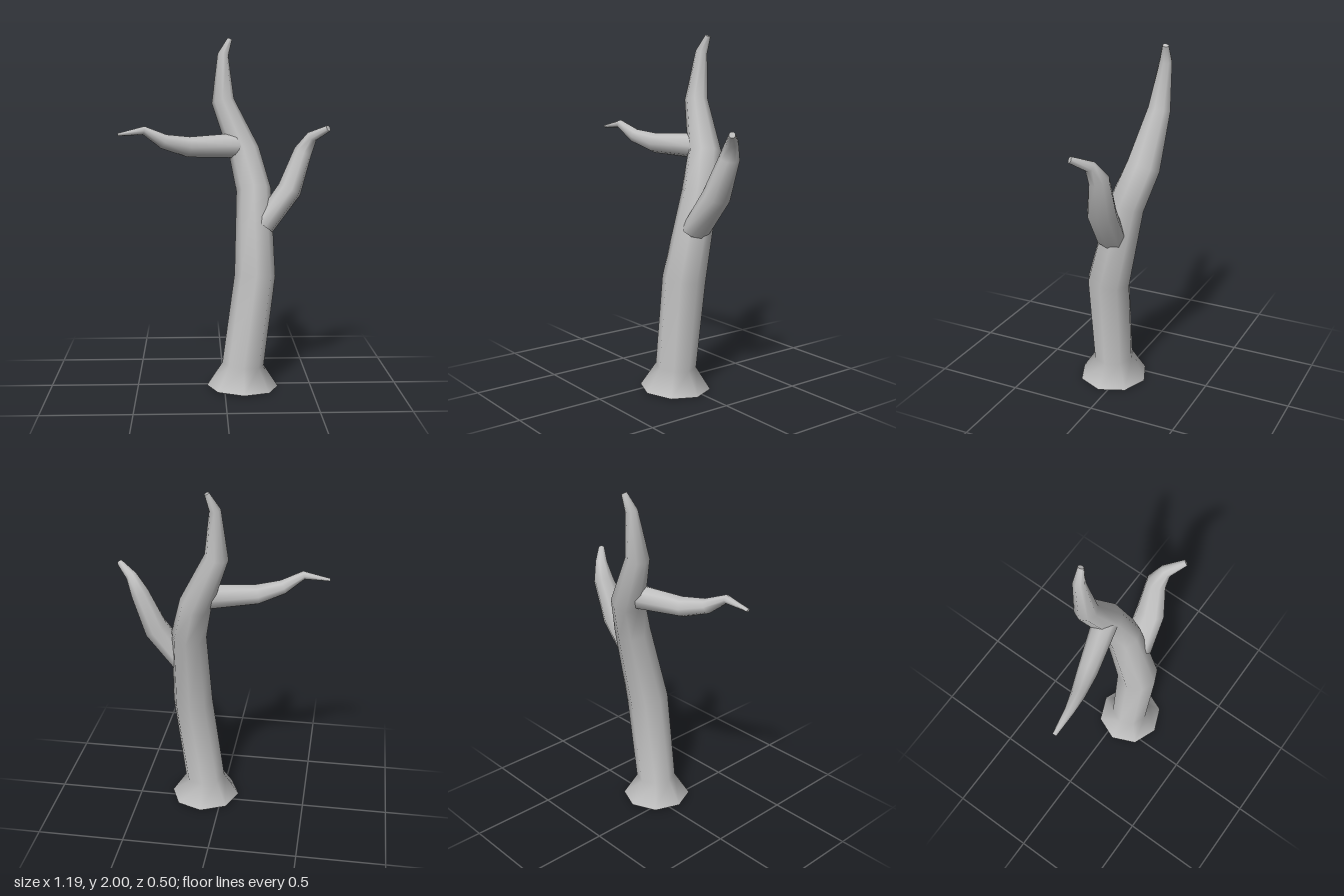
import * as THREE from 'three';

// Skin a limb over rings of [x, y, z, radius, depthRadius?], with closed ends.
function limb(name, rings, material, sides = 8) {
  const centres = rings.map(([x, y, z]) => new THREE.Vector3(x, y, z));
  const pos = [], index = [];
  const loops = rings.map(([, , , r, rz = r], i) => {
    // Ring plane is perpendicular to the averaged path direction
    const t = new THREE.Vector3();
    if (i > 0) t.add(centres[i].clone().sub(centres[i - 1]).normalize());
    if (i < rings.length - 1) t.add(centres[i + 1].clone().sub(centres[i]).normalize());
    t.normalize();
    const u = new THREE.Vector3(0, 0, 1);
    u.addScaledVector(t, -u.dot(t)).normalize();
    const v = new THREE.Vector3().crossVectors(t, u);
    return Array.from({ length: sides }, (_, j) => {
      const a = (j / sides) * Math.PI * 2;
      return centres[i].clone().addScaledVector(u, rz * Math.cos(a)).addScaledVector(v, r * Math.sin(a));
    });
  });
  loops.forEach((loop) => loop.forEach((p) => pos.push(p.x, p.y, p.z)));
  for (let i = 0; i < loops.length - 1; i++) {
    for (let j = 0; j < sides; j++) {
      const a = i * sides + j, b = i * sides + ((j + 1) % sides);
      index.push(a, b, b + sides, a, b + sides, a + sides);
    }
  }
  // End caps use their own vertices so their rims stay sharp
  const cap = (loop, flip) => {
    const start = pos.length / 3;
    loop.forEach((p) => pos.push(p.x, p.y, p.z));
    for (let j = 1; j < sides - 1; j++) {
      if (flip) index.push(start, start + j + 1, start + j);
      else index.push(start, start + j, start + j + 1);
    }
  };
  cap(loops[0], true);
  cap(loops[loops.length - 1], false);

  const geometry = new THREE.BufferGeometry();
  geometry.setAttribute('position', new THREE.Float32BufferAttribute(pos, 3));
  geometry.setIndex(index);
  geometry.computeVertexNormals();
  const mesh = new THREE.Mesh(geometry, material);
  mesh.name = name;
  return mesh;
}

export function createModel() {
  const tree = new THREE.Group();
  tree.name = 'bareTree';
  const bark = new THREE.MeshStandardMaterial({ color: 0xc0c0c0 });
  bark.name = 'greyBark';

  // Trunk: flared foot, leaning back and curling up to a thin tip
  tree.add(limb('trunk', [
    [0.105, 0, 0.05, 0.205, 0.2],
    [0.108, 0.13, 0.048, 0.12, 0.115],
    [0.175, 0.65, 0.043, 0.117, 0.127],
    [0.172, 1.13, -0.07, 0.1, 0.105],
    [0.12, 1.345, -0.145, 0.09, 0.1],
    [-0.002, 1.635, -0.18, 0.066, 0.066],
    [0, 1.9, -0.215, 0.032, 0.036],
    [0.04, 1.99, -0.23, 0.014, 0.018],
  ], bark));

  // Long, nearly level branch on the right
  tree.add(limb('rightBranch', [
    [0.1, 1.38, -0.13, 0.073],
    [-0.2, 1.378, -0.035, 0.058, 0.056],
    [-0.34, 1.412, 0.008, 0.042, 0.04],
    [-0.45, 1.476, 0.04, 0.024, 0.027],
    [-0.594, 1.453, 0.05, 0.008, 0.012],
  ], bark));

  // Rising branch on the left
  tree.add(limb('leftBranch', [
    [0.225, 0.93, 0, 0.065, 0.09],
    [0.375, 1.135, -0.02, 0.07, 0.087],
    [0.452, 1.35, -0.045, 0.053, 0.06],
    [0.5, 1.437, -0.02, 0.033, 0.037],
    [0.583, 1.487, 0.052, 0.018],
  ], bark));

  return tree;
}
